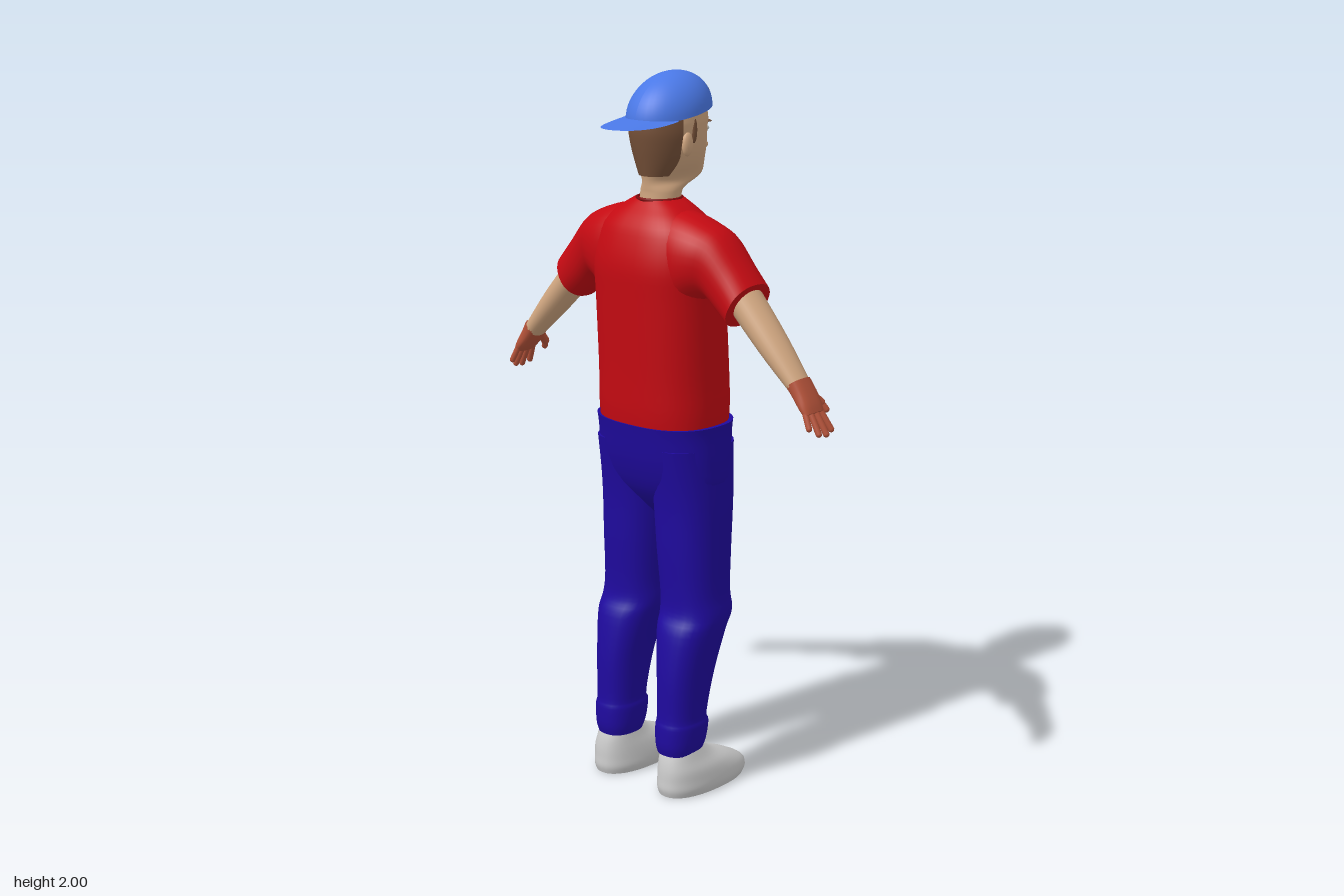
import * as THREE from 'three';

const SKIN = 0xd0a680, HAND = 0xb5533a, RED = 0xc40a12, BLUE = 0x1f0a9e;
const CAP = 0x4a78e6, HAIR = 0x755038, GREY = 0xcccccc;

function part(name, geometry, color, side = THREE.FrontSide) {
  const mesh = new THREE.Mesh(geometry, new THREE.MeshStandardMaterial({ color, side }));
  mesh.name = name;
  return mesh;
}

// Smoothly resample a list of numeric rows (Catmull-Rom on every column)
function resample(rows, k) {
  const out = [], last = rows.length - 1;
  for (let i = 0; i < last; i++) {
    const [a, b, c, d] = [rows[Math.max(i - 1, 0)], rows[i], rows[i + 1], rows[Math.min(i + 2, last)]];
    for (let j = 0; j < k; j++) {
      const t = j / k;
      out.push(b.map((v, q) => v + 0.5 * t * (c[q] - a[q] +
        t * (2 * a[q] - 5 * v + 4 * c[q] - d[q] + t * (3 * (v - c[q]) + d[q] - a[q])))));
    }
  }
  out.push(rows[last]);
  return out;
}

// Loft through rings; a row is [zA, yA, zB, yB, xBack, xFront]
function loft(name, color, rows, { n = 32, k = 4, e = 2, s = 1, a0 = 0, a1 = Math.PI * 2, open = false } = {}) {
  const pos = [], idx = [], rings = resample(rows, k);
  const pw = v => Math.sign(v) * Math.abs(v) ** (2 / e);
  const cols = open ? n + 1 : n;
  for (const [zA, yA, zB, yB, x0, x1] of rings) {
    for (let i = 0; i < cols; i++) {
      const a = a0 + (a1 - a0) * i / n, c = pw(Math.cos(a)), q = pw(Math.sin(a));
      pos.push((x0 + x1) / 2 + q * (x1 - x0) / 2, (yA + yB) / 2 + c * (yA - yB) / 2,
        s * ((zA + zB) / 2 + c * (zA - zB) / 2));
    }
  }
  for (let r = 0; r < rings.length - 1; r++) for (let i = 0; i < n; i++) {
    const j = open ? i + 1 : (i + 1) % n, a = r * cols, b = a + cols;
    idx.push(a + i, a + j, b + i, a + j, b + j, b + i);
  }
  // End caps with their own vertices, so that the rims stay sharp
  if (!open) for (const r of [0, rings.length - 1]) {
    const base = pos.length / 3, [zA, yA, zB, yB, x0, x1] = rings[r];
    pos.push(...pos.slice(r * n * 3, (r + 1) * n * 3), (x0 + x1) / 2, (yA + yB) / 2, s * (zA + zB) / 2);
    for (let i = 0; i < n; i++) {
      const j = (i + 1) % n;
      idx.push(base + n, ...(r ? [base + i, base + j] : [base + j, base + i]));
    }
  }
  // Turn all faces outward
  const p = i => new THREE.Vector3().fromArray(pos, i * 3);
  let volume = 0;
  for (let i = 0; i < idx.length; i += 3) volume += p(idx[i]).dot(p(idx[i + 1]).cross(p(idx[i + 2])));
  if (volume < 0) idx.reverse();
  const g = new THREE.BufferGeometry();
  g.setAttribute('position', new THREE.Float32BufferAttribute(pos, 3));
  g.setIndex(idx);
  g.computeVertexNormals();
  return part(name, g, color, open ? THREE.DoubleSide : THREE.FrontSide);
}

const flat = (y, z0, z1, x0, x1) => [z0, y, z1, y, x0, x1];
const even = (y, hz, x0, x1) => flat(y, -hz, hz, x0, x1);

function blob(name, color, [x, y, z], [rx, ry, rz]) {
  const g = new THREE.SphereGeometry(1, 16, 12);
  g.scale(rx, ry, rz).translate(x, y, z);
  return part(name, g, color);
}

function finger(name, from, to, r) {
  const a = new THREE.Vector3(...from), b = new THREE.Vector3(...to), d = b.clone().sub(a);
  const m = part(name, new THREE.CapsuleGeometry(r, d.length(), 4, 10), HAND);
  m.position.copy(a).add(b).multiplyScalar(0.5);
  m.quaternion.setFromUnitVectors(new THREE.Vector3(0, 1, 0), d.normalize());
  return m;
}

function makeHead() {
  const head = new THREE.Group();
  head.name = 'head';
  head.add(loft('headAndNeck', SKIN, [
    even(1.6, 0.055, -0.06, 0.05), even(1.675, 0.052, -0.057, 0.058), even(1.695, 0.05, -0.058, 0.08),
    even(1.712, 0.046, -0.06, 0.135), even(1.728, 0.05, -0.063, 0.153), even(1.76, 0.067, -0.07, 0.15),
    even(1.8, 0.08, -0.077, 0.15), even(1.85, 0.088, -0.084, 0.148), even(1.88, 0.089, -0.084, 0.15),
    even(1.92, 0.08, -0.07, 0.135), even(1.97, 0.03, -0.01, 0.08)], { e: 2.1 }));
  head.add(loft('nose', SKIN, [
    even(1.85, 0.007, 0.13, 0.149), even(1.81, 0.01, 0.13, 0.17), even(1.79, 0.016, 0.13, 0.185),
    even(1.778, 0.012, 0.13, 0.165)], { n: 16 }));
  head.add(loft('hair', HAIR, [
    even(1.73, 0.05, -0.066, 0.07), even(1.77, 0.073, -0.075, 0.13), even(1.81, 0.085, -0.083, 0.14),
    even(1.85, 0.092, -0.088, 0.148), even(1.9, 0.09, -0.085, 0.148)],
    { e: 2.1, a0: Math.PI + 0.3, a1: 2 * Math.PI - 0.3, open: true }));
  head.add(blob('upperLip', 0xa8705c, [0.147, 1.765, 0], [0.01, 0.004, 0.025]));
  head.add(blob('lowerLip', 0xb07a64, [0.146, 1.756, 0], [0.01, 0.005, 0.02]));
  for (const s of [-1, 1]) {
    const side = s < 0 ? 'left' : 'right';
    head.add(blob(side + 'Ear', SKIN, [0.012, 1.815, s * 0.085], [0.019, 0.032, 0.011]));
    head.add(blob(side + 'Sideburn', HAIR, [0.038, 1.85, s * 0.085], [0.01, 0.035, 0.007]));
    head.add(blob(side + 'Eye', 0xb9c0c0, [0.132, 1.843, s * 0.037], [0.012, 0.007, 0.015]));
    head.add(blob(side + 'Iris', 0x4d6a78, [0.141, 1.843, s * 0.037], [0.005, 0.005, 0.006]));
    head.add(blob(side + 'Eyebrow', HAIR, [0.135, 1.862, s * 0.039], [0.012, 0.004, 0.02]));
  }
  return head;
}

// Backwards cap: tilted dome, rear brim and front opening showing hair
function makeCap() {
  const cap = new THREE.Group(), CX = 0.033, tilt = 0.15;
  cap.name = 'cap';
  const bend = (g, rule) => {
    const p = g.attributes.position;
    for (let i = 0; i < p.count; i++) p.setXYZ(i, ...rule(p.getX(i), p.getY(i), p.getZ(i)));
    g.computeVertexNormals();
    return g;
  };
  cap.add(part('capDome', bend(new THREE.SphereGeometry(1, 40, 16, 0, Math.PI * 2, 0, Math.PI / 2),
    (x, y, z) => [CX + 0.132 * x, 1.89 + 0.108 * y + tilt * 0.132 * x, 0.1 * z]), CAP, THREE.DoubleSide));
  cap.add(part('capBrim', bend(new THREE.RingGeometry(0.001, 1, 32, 8, -Math.PI / 2, Math.PI),
    (u, v) => {
      const x = -0.03 - 0.17 * Math.abs(u) ** 0.85, z = 0.093 * v;
      return [x, 1.884 + tilt * x + 0.013 * (1 - v * v), z];
    }), CAP, THREE.DoubleSide));
  cap.add(part('capOpening', bend(new THREE.RingGeometry(0.001, 1, 24, 6, 0, Math.PI),
    (u, v) => {
      const z = 0.042 * u, h = 0.02 + 0.043 * v;
      const x = 0.134 * Math.sqrt(1 - (z / 0.1) ** 2 - (h / 0.109) ** 2);
      return [CX + x + 0.001, 1.89 + h + tilt * x, z];
    }), HAIR, THREE.DoubleSide));
  return cap;
}

function makeArm(s, side) {
  const arm = new THREE.Group();
  arm.name = side + 'Arm';
  arm.add(loft('sleeve', RED, [
    [0.06, 1.652, 0.1, 1.4, -0.11, 0.08], [0.13, 1.64, 0.14, 1.39, -0.115, 0.09],
    [0.19, 1.62, 0.175, 1.415, -0.105, 0.087], [0.24, 1.593, 0.205, 1.42, -0.088, 0.08],
    [0.295, 1.53, 0.243, 1.387, -0.08, 0.077], [0.34, 1.476, 0.28, 1.357, -0.08, 0.08]], { s, e: 2.2 }));
  arm.add(loft('forearm', SKIN, [
    [0.323, 1.47, 0.257, 1.41, -0.053, 0.056], [0.428, 1.351, 0.372, 1.299, -0.047, 0.048],
    [0.509, 1.248, 0.471, 1.212, -0.036, 0.036]], { s }));
  // Hand frame: t runs toward the fingertips, h is the height off the palm plane
  const at = (t, h) => [0.487 + 0.584 * t + 0.81 * h, 1.236 - 0.81 * t + 0.584 * h];
  const palm = (t, r, x0, x1) => [...at(t, r), ...at(t, -r), x0, x1];
  const hand = new THREE.Group();
  hand.name = 'hand';
  hand.add(loft('palm', HAND, [palm(-0.005, 0.026, -0.037, 0.037), palm(0.03, 0.022, -0.036, 0.042),
    palm(0.065, 0.017, -0.038, 0.042), palm(0.088, 0.011, -0.036, 0.038)], { s, e: 2.5, n: 24 }));
  const tip = (x, t, h) => { const [z, y] = at(t, h); return [x, y, s * z]; };
  [[-0.028, -0.034, 0.121], [-0.009, -0.009, 0.142], [0.011, 0.018, 0.147], [0.029, 0.044, 0.138]]
    .forEach(([x0, x1, t], i) => hand.add(finger('finger' + (i + 1), tip(x0, 0.075, 0), tip(x1, t, -0.008), 0.0085)));
  hand.add(finger('thumb', tip(0.026, 0.025, -0.005), tip(0.06, 0.06, -0.012), 0.012));
  hand.add(finger('thumbTip', tip(0.06, 0.06, -0.012), tip(0.069, 0.082, -0.014), 0.009));
  arm.add(hand);
  return arm;
}

function makeLeg(s, side) {
  const leg = new THREE.Group();
  leg.name = side + 'Leg';
  leg.add(loft('trouserLeg', BLUE, [
    flat(1.0, 0, 0.188, -0.11, 0.15), flat(0.85, 0, 0.194, -0.085, 0.14), flat(0.7, 0.008, 0.195, -0.076, 0.128),
    flat(0.58, 0.017, 0.196, -0.068, 0.12), flat(0.52, 0.017, 0.203, -0.071, 0.124),
    flat(0.47, 0.028, 0.199, -0.094, 0.102), flat(0.35, 0.05, 0.182, -0.11, 0.065),
    flat(0.23, 0.058, 0.174, -0.112, 0.036), flat(0.2, 0.054, 0.178, -0.117, 0.042),
    flat(0.15, 0.056, 0.175, -0.117, 0.033), flat(0.12, 0.062, 0.168, -0.11, 0.02)], { s, e: 2.4 }));
  leg.add(loft('shoe', GREY, [
    flat(0, 0.052, 0.193, -0.115, 0.188), flat(0.02, 0.046, 0.199, -0.121, 0.198),
    flat(0.045, 0.047, 0.198, -0.12, 0.186), flat(0.075, 0.053, 0.192, -0.118, 0.132),
    flat(0.105, 0.062, 0.178, -0.112, 0.062), flat(0.14, 0.07, 0.165, -0.1, 0.01)], { s, e: 2.3 }));
  return leg;
}

export function createModel() {
  const model = new THREE.Group();
  model.name = 'standingPerson';
  model.add(makeHead(), makeCap());
  model.add(loft('shirtBody', RED, [
    even(1.03, 0.18, -0.125, 0.155), even(1.1, 0.183, -0.132, 0.162), even(1.2, 0.181, -0.135, 0.16),
    even(1.4, 0.182, -0.143, 0.143), even(1.5, 0.185, -0.145, 0.128), even(1.58, 0.17, -0.127, 0.108),
    even(1.62, 0.14, -0.106, 0.09), even(1.65, 0.098, -0.08, 0.068), even(1.668, 0.066, -0.064, 0.054)],
    { n: 48, e: 2.5 }));
  model.add(part('collar', new THREE.TorusGeometry(0.06, 0.005, 8, 32).rotateX(Math.PI / 2).translate(-0.005, 1.667, 0), 0x7a0a0c));
  model.add(loft('trouserTop', BLUE, [
    even(1.062, 0.194, -0.133, 0.168), even(1.03, 0.192, -0.127, 0.163), even(0.95, 0.194, -0.112, 0.153),
    even(0.88, 0.185, -0.088, 0.14), even(0.83, 0.11, -0.055, 0.105), even(0.79, 0.03, -0.02, 0.06)],
    { n: 48, e: 2.5 }));
  for (const s of [-1, 1]) {
    const side = s < 0 ? 'left' : 'right';
    model.add(makeArm(s, side), makeLeg(s, side));
  }
  return model;
}
